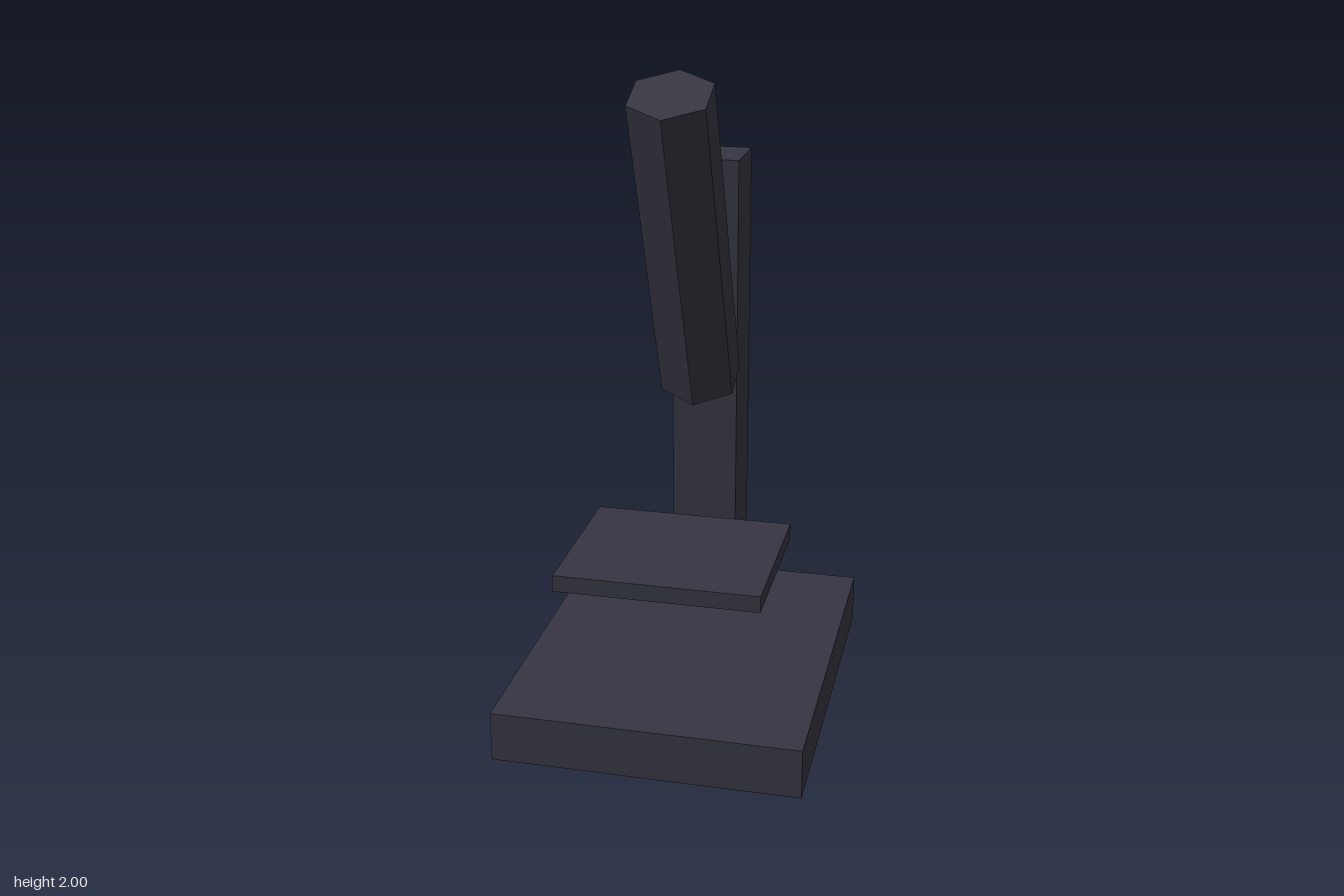
import * as THREE from 'three';

export function createModel() {
  const model = new THREE.Group();
  model.name = 'microscope';
  const darkMetal = new THREE.MeshStandardMaterial({ color: 0x363541, flatShading: true });
  darkMetal.name = 'dark slate';

  function addPart(name, geometry, x, y, z) {
    const mesh = new THREE.Mesh(geometry, darkMetal);
    mesh.name = name;
    mesh.position.set(x, y, z);
    model.add(mesh);
    return mesh;
  }

  // Heavy foot and the upright arm at its back
  addPart('base', new THREE.BoxGeometry(0.94, 0.157, 1.15), 0, 0.0785, 0);
  addPart('column', new THREE.BoxGeometry(0.209, 1.567, 0.209), 0, 0.893, -0.366);

  // Thin specimen plate
  addPart('stage', new THREE.BoxGeometry(0.627, 0.052, 0.5225), 0, 0.526, 0.156);

  // Six-sided viewing tube, leaning forward with an edge facing the front
  const tube = addPart('viewingTube', new THREE.CylinderGeometry(0.1306, 0.1306, 1.045, 6), 0, 1.468, 0);
  tube.rotation.x = 0.4;

  return model;
}
